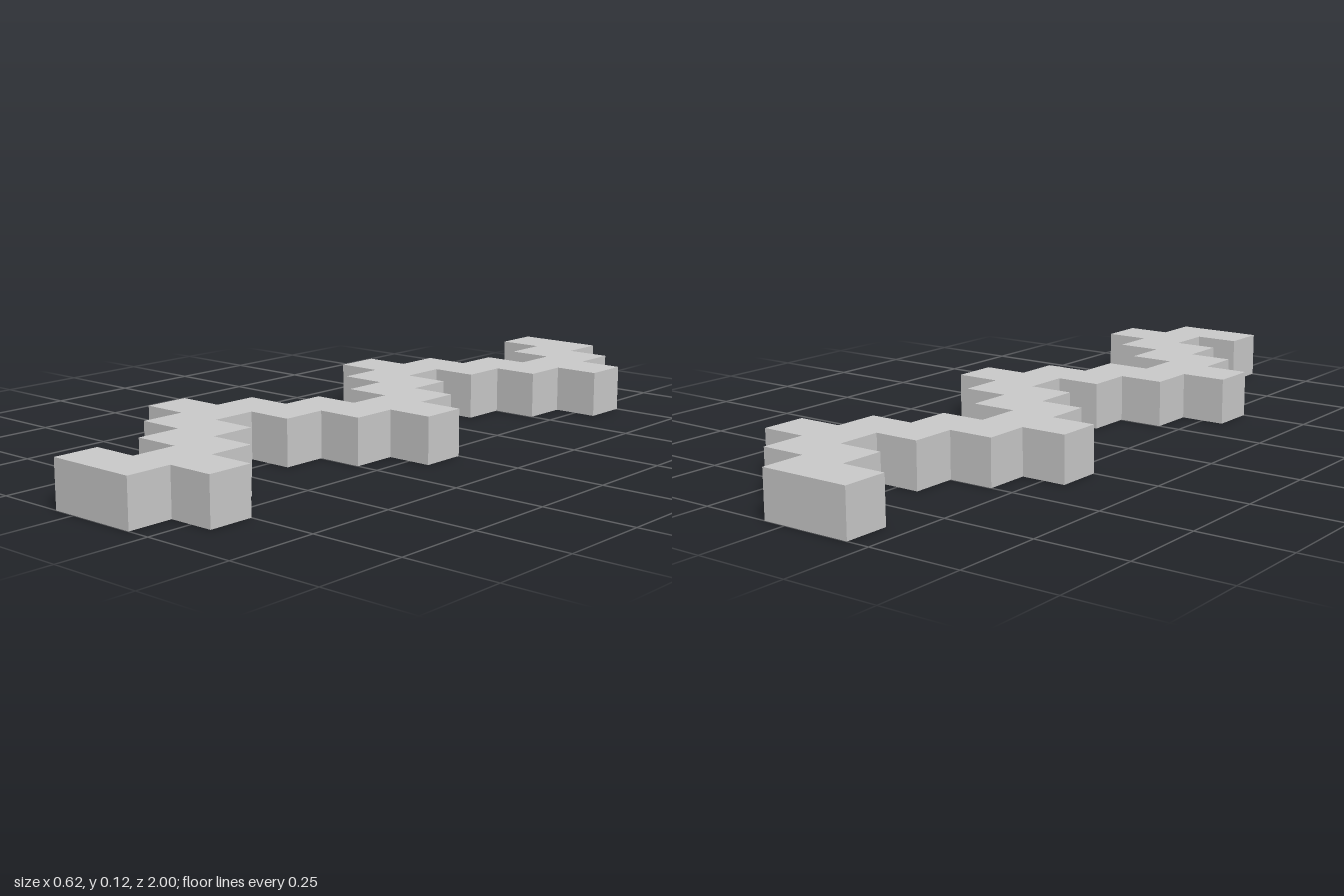
import * as THREE from 'three';

const CELL = 0.125; // side of one square block
const ROWS = 16;

// Left column of a row, from back to front: the wave 1, 2, 3, 2, 1, 0 ...
function leftColumn(row) {
  return Math.abs(((row + 4) % 6) - 3);
}

export function createModel() {
  const group = new THREE.Group();
  group.name = 'zigzagWall';

  // Stepped outline: along the left edge back to front, then return on the right
  const left = [];
  const right = [];
  for (let row = 0; row < ROWS; row++) {
    const x = (leftColumn(row) - 2.5) * CELL;
    const back = 1 - row * CELL; // shape y is -z
    const front = back - CELL;
    left.push(new THREE.Vector2(x, back), new THREE.Vector2(x, front));
    right.push(new THREE.Vector2(x + 2 * CELL, back), new THREE.Vector2(x + 2 * CELL, front));
  }
  const outline = new THREE.Shape([...left, ...right.reverse()]);

  // Extrude the outline upwards by one block
  const geometry = new THREE.ExtrudeGeometry(outline, { depth: CELL, bevelEnabled: false });
  geometry.rotateX(-Math.PI / 2);

  const material = new THREE.MeshStandardMaterial({ color: 0xcccccc, flatShading: true });
  const wall = new THREE.Mesh(geometry, material);
  wall.name = 'steppedBlocks';
  group.add(wall);
  return group;
}
